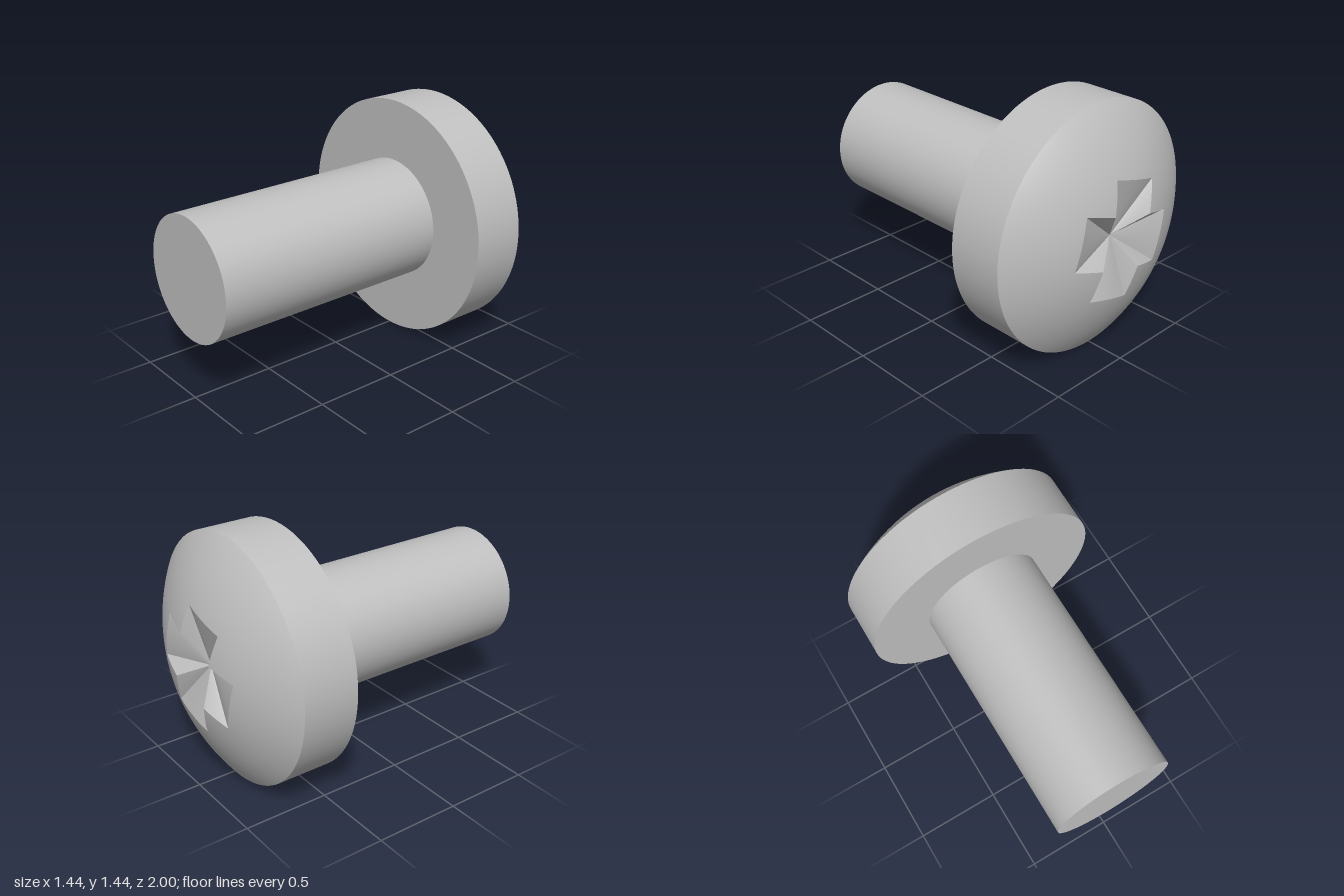
import * as THREE from 'three';

const SEG = 120;
const AXIS_Y = 0.72;
const HEAD_R = 0.72, SHAFT_R = 0.36;
const HEAD_Z = 0.44, RIM_Z = 0.77, TOP_Z = 1.016, PIT_Z = 0.88;
const RISE = TOP_Z - RIM_Z;
const SPHERE_R = (HEAD_R * HEAD_R + RISE * RISE) / (2 * RISE);
const SPHERE_Z = TOP_Z - SPHERE_R;

// Cross-shaped recess outline: radius at a given angle (degrees), four arms
const ARM = 0.333, HALF = ARM * Math.tan(THREE.MathUtils.degToRad(24));
function crossRadius(deg) {
  const a = Math.abs(((deg - 75 + 45 + 720) % 90) - 45); // angle from the nearest arm
  const r = THREE.MathUtils.degToRad(a);
  return a <= 24.01 ? ARM / Math.cos(r) : HALF / Math.sin(r);
}

// Point on the dome, t = 0 at the recess edge and t = 1 at the rim
function domePoint(i, t) {
  const deg = (i % SEG) * 360 / SEG, a = THREE.MathUtils.degToRad(deg);
  const r = THREE.MathUtils.lerp(crossRadius(deg), HEAD_R, t);
  return new THREE.Vector3(r * Math.cos(a), r * Math.sin(a), SPHERE_Z + Math.sqrt(SPHERE_R * SPHERE_R - r * r));
}

// Spherical cap with the recess cut out of it
function domeGeometry(rings = 14) {
  const pos = [], nor = [], idx = [];
  for (let j = 0; j <= rings; j++) {
    for (let i = 0; i <= SEG; i++) {
      const p = domePoint(i, j / rings);
      pos.push(p.x, p.y, p.z);
      nor.push(p.x / SPHERE_R, p.y / SPHERE_R, (p.z - SPHERE_Z) / SPHERE_R);
      if (j < rings && i < SEG) {
        const a = j * (SEG + 1) + i, b = a + SEG + 1;
        idx.push(a, b, b + 1, a, b + 1, a + 1);
      }
    }
  }
  const g = new THREE.BufferGeometry();
  g.setAttribute('position', new THREE.Float32BufferAttribute(pos, 3));
  g.setAttribute('normal', new THREE.Float32BufferAttribute(nor, 3));
  g.setIndex(idx);
  return g;
}

// Facets running from the recess edge down to a central point
function recessGeometry() {
  const pos = [];
  for (let i = 0; i < SEG; i++) {
    pos.push(0, 0, PIT_Z, ...domePoint(i, 0).toArray(), ...domePoint(i + 1, 0).toArray());
  }
  const g = new THREE.BufferGeometry();
  g.setAttribute('position', new THREE.Float32BufferAttribute(pos, 3));
  g.computeVertexNormals();
  return g;
}

export function createModel() {
  const steel = new THREE.MeshStandardMaterial({ color: 0xbfbfbf });
  steel.name = 'steel grey';
  const model = new THREE.Group();
  model.name = 'screw';

  // Built along +z with the dome outward, then turned so the head is at the back
  const body = new THREE.Group();
  body.name = 'screwBody';
  body.rotation.y = Math.PI;
  body.position.y = AXIS_Y;
  model.add(body);

  const add = (name, geometry) => {
    const mesh = new THREE.Mesh(geometry, steel);
    mesh.name = name;
    body.add(mesh);
  };
  const rod = (r, z0, z1, open) =>
    new THREE.CylinderGeometry(r, r, z1 - z0, SEG, 1, open).rotateX(Math.PI / 2).translate(0, 0, (z0 + z1) / 2);

  add('shaft', rod(SHAFT_R, -1, HEAD_Z + 0.01, false));
  add('headSide', rod(HEAD_R, HEAD_Z, RIM_Z, true));
  add('headUnderside', new THREE.RingGeometry(SHAFT_R, HEAD_R, SEG).rotateY(Math.PI).translate(0, 0, HEAD_Z));
  add('headDome', domeGeometry());
  add('crossRecess', recessGeometry());

  return model;
}
